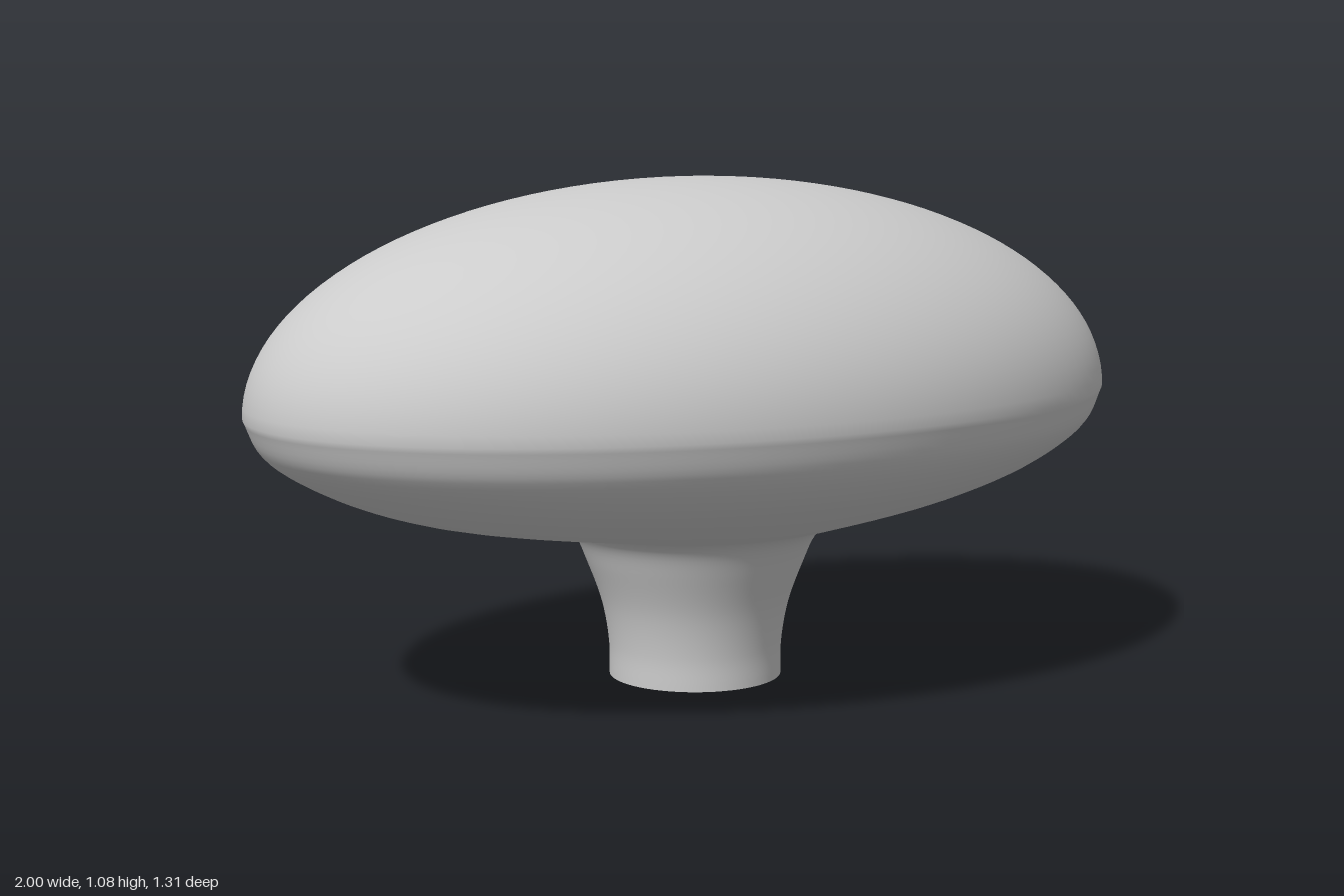
import * as THREE from 'three';
import { mergeVertices, toCreasedNormals } from 'three/addons/utils/BufferGeometryUtils.js';

const SEGMENTS = 96;
const RIM = { x: 1, y: 0.61, z: 0.655 };
const TOP = 1.08;

// Lathe whose rings are squashed into ellipses: each section is (half width, height, half depth).
function ovalLathe(sections) {
  const geometry = new THREE.LatheGeometry(sections.map(s => new THREE.Vector2(s.x, s.y)), SEGMENTS);
  const pos = geometry.attributes.position;
  for (let i = 0; i < pos.count; i++) {
    const s = sections[i % sections.length];
    if (s.x > 0) pos.setZ(i, pos.getZ(i) * s.z / s.x);
  }
  // Weld the seam so the shading runs round without a break
  geometry.deleteAttribute('uv');
  geometry.deleteAttribute('normal');
  const welded = mergeVertices(geometry, 1e-5);
  welded.computeVertexNormals();
  return welded;
}

export function createModel() {
  const group = new THREE.Group();
  group.name = 'ovalKnob';
  const material = new THREE.MeshStandardMaterial({ color: 0xcccccc });
  const add = (name, geometry) => {
    const mesh = new THREE.Mesh(geometry, material);
    mesh.name = name;
    group.add(mesh);
  };

  // Round flared stem blending through a fillet into the oval underside
  const lower = new THREE.CatmullRomCurve3([
    [0.187, 0, 0.187], [0.188, 0.07, 0.188], [0.203, 0.16, 0.203], [0.235, 0.25, 0.235],
    [0.262, 0.31, 0.262], [0.29, 0.333, 0.285], [0.36, 0.345, 0.325], [0.67, 0.396, 0.45],
    [0.86, 0.468, 0.57], [0.965, 0.54, 0.633], [RIM.x, RIM.y, RIM.z],
  ].map(p => new THREE.Vector3(...p)), false, 'centripetal');
  const sections = lower.getPoints(60);

  // Domed top, a half ellipsoid above the rim
  const steps = 32;
  for (let i = 1; i <= steps; i++) {
    const a = (i / steps) * Math.PI / 2;
    const r = i === steps ? 0 : Math.cos(a);
    sections.push(new THREE.Vector3(RIM.x * r, RIM.y + (TOP - RIM.y) * Math.sin(a), RIM.z * r));
  }
  add('knobBody', ovalLathe(sections));

  // Flat foot ring and blind screw hole
  const hole = [[0, 0.3], [0.088, 0.3], [0.088, 0], [0.187, 0]].map(p => new THREE.Vector2(...p));
  add('screwHole', toCreasedNormals(new THREE.LatheGeometry(hole, SEGMENTS), 0.6));

  return group;
}
